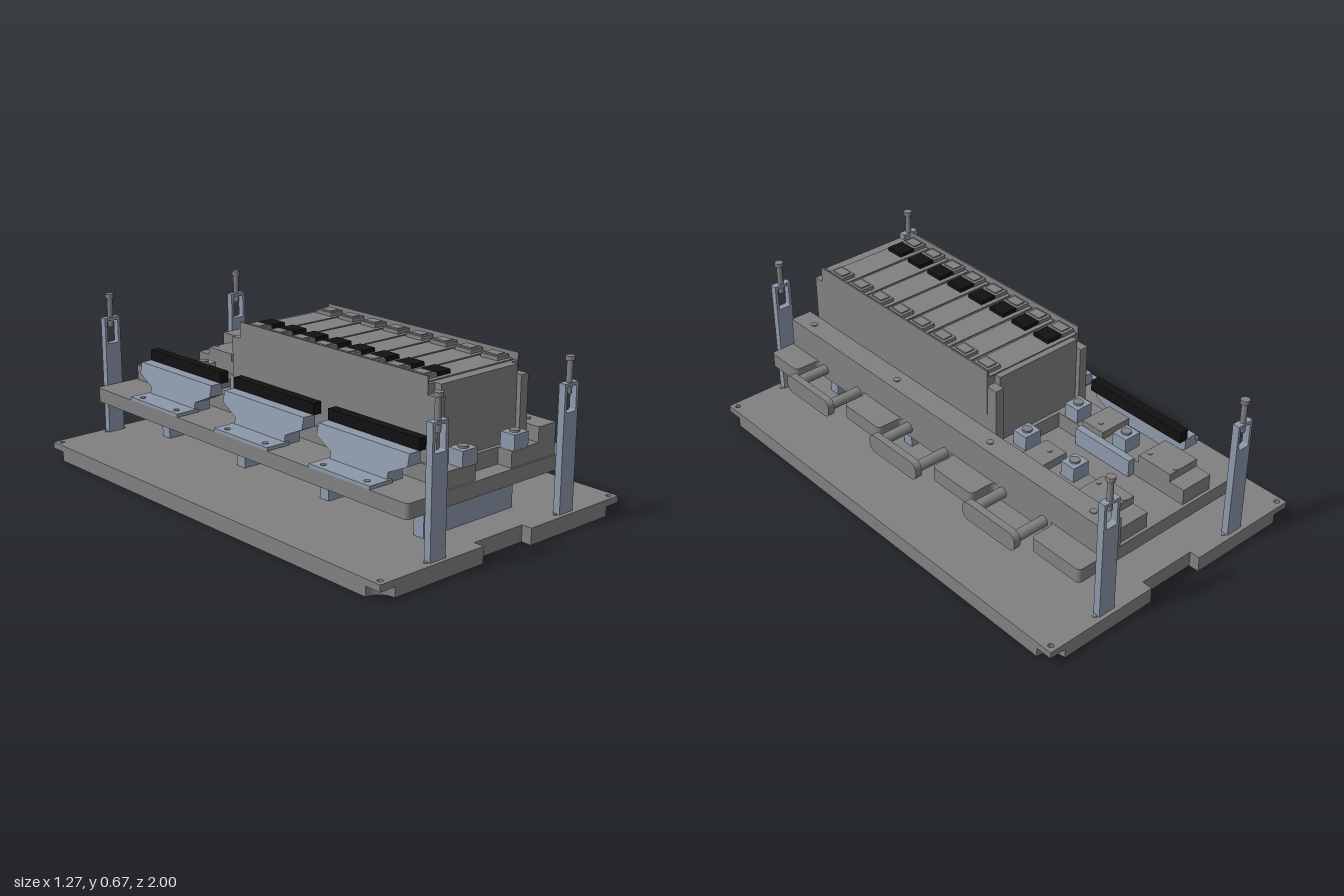
import * as THREE from 'three';

const mat = (name, color) => Object.assign(new THREE.MeshStandardMaterial({ color }), { name });

export function createModel() {
  const root = new THREE.Group();
  root.name = 'batteryFixture';
  const gray = mat('machinedGray', 0x808080);
  const blue = mat('steelBlue', 0x8c98aa);
  const black = mat('matteBlack', 0x111111);

  const add = (name, geo, material, parent = root) => {
    const m = new THREE.Mesh(geo, material);
    m.name = name;
    parent.add(m);
    return m;
  };
  // Box given by its limits on each axis
  const box = (name, material, [x0, x1], [y0, y1], [z0, z1], parent) => {
    const g = new THREE.BoxGeometry(x1 - x0, y1 - y0, z1 - z0);
    g.translate((x0 + x1) / 2, (y0 + y1) / 2, (z0 + z1) / 2);
    return add(name, g, material, parent);
  };
  const rod = (name, material, r, x, y0, y1, z, parent) => {
    const g = new THREE.CylinderGeometry(r, r, y1 - y0, 20);
    g.translate(x, (y0 + y1) / 2, z);
    return add(name, g, material, parent);
  };
  // Outline with rounded corners
  const rounded = (pts, r) => {
    const s = new THREE.Shape();
    pts.forEach((p, i) => {
      const a = new THREE.Vector2(...pts[(i + pts.length - 1) % pts.length]);
      const b = new THREE.Vector2(...p);
      const c = new THREE.Vector2(...pts[(i + 1) % pts.length]);
      const p0 = a.sub(b).setLength(r).add(b);
      const p1 = c.sub(b).setLength(r).add(b);
      if (i) s.lineTo(p0.x, p0.y); else s.moveTo(p0.x, p0.y);
      s.quadraticCurveTo(b.x, b.y, p1.x, p1.y);
    });
    s.closePath();
    return s;
  };
  const hole = (shape, x, y, r) => {
    const h = new THREE.Path();
    h.absarc(x, y, r, 0, Math.PI * 2, true);
    shape.holes.push(h);
  };
  const extrude = (shape, depth) =>
    new THREE.ExtrudeGeometry(shape, { depth, bevelEnabled: false, curveSegments: 10 });
  // Horizontal slab: the outline is given in x and -z
  const slab = (name, shape, y0, y1) => {
    const g = extrude(shape, y1 - y0);
    g.rotateX(-Math.PI / 2);
    g.translate(0, y0, 0);
    return add(name, g, gray);
  };

  // Base plate: end notches, corner holes, relieved lower corners and foot recesses
  const W = 0.633, N = 0.128, D = 0.955;
  const upper = new THREE.Shape([
    [-W, -1], [-N, -1], [-N, -D], [N, -D], [N, -1], [W, -1],
    [W, 1], [N, 1], [N, D], [-N, D], [-N, 1], [-W, 1],
  ].map((p) => new THREE.Vector2(...p)));
  const lower = new THREE.Shape();
  const c = 0.07;
  lower.moveTo(-W + c, -1);
  [[-N, -1], [-N, -D], [N, -D], [N, -1], [W - c, -1]].forEach((p) => lower.lineTo(...p));
  lower.absarc(W, -1, c, Math.PI, Math.PI / 2, true);
  lower.lineTo(W, 1 - c);
  lower.absarc(W, 1, c, -Math.PI / 2, -Math.PI, true);
  [[N, 1], [N, D], [-N, D], [-N, 1], [-W + c, 1]].forEach((p) => lower.lineTo(...p));
  lower.absarc(-W, 1, c, 0, -Math.PI / 2, true);
  lower.lineTo(-W, -1 + c);
  lower.absarc(-W, -1, c, Math.PI / 2, 0, true);
  for (const sx of [-1, 1]) for (const sz of [-1, 1]) {
    hole(upper, sx * 0.607, sz * 0.973, 0.011);
    hole(lower, sx * 0.245, sz * 0.625, 0.06);
    rod('footStud', gray, 0.034, sx * 0.245, 0.005, 0.04, sz * 0.625);
  }
  slab('basePlateLower', lower, 0, 0.04);
  slab('basePlateUpper', upper, 0.04, 0.067);

  // Cross supports under the fixture plate
  for (const z of [0.785, 0.28, -0.225, -0.735])
    box('crossSupport', blue, [-0.237, 0.235], [0.067, 0.226], [z - 0.025, z + 0.025]);

  // Corner posts with a window and an adjusting screw
  const postShape = new THREE.Shape([[-0.038, 0.067], [0.038, 0.067], [0.038, 0.572], [-0.038, 0.572]]
    .map((p) => new THREE.Vector2(...p)));
  postShape.holes.push(rounded([[-0.026, 0.46], [-0.026, 0.56], [0.026, 0.56], [0.026, 0.46]], 0.008));
  for (const sx of [-1, 1]) for (const sz of [-1, 1]) {
    const post = new THREE.Group();
    post.name = 'cornerPost';
    post.position.set(sx * 0.342, 0, sz * 0.968);
    add('postBody', extrude(postShape, 0.03).translate(0, 0, -0.015), blue, post);
    rod('postScrew', gray, 0.012, 0, 0.53, 0.656, 0, post);
    rod('postScrewHead', gray, 0.018, 0, 0.655, 0.672, 0, post);
    for (const dx of [-0.045, 0.045]) rod('postBolt', gray, 0.008, dx, 0.067, 0.07, 0, post);
    root.add(post);
  }

  // Fixture plate with three handle cut-outs on its left side
  const handleZ = [0.59, 0.035, -0.522];
  const outline = [[-0.445, -0.933], [0.44, -0.933]];
  for (const z of handleZ)
    outline.push([0.44, -z - 0.165], [0.33, -z - 0.165], [0.33, -z + 0.165], [0.44, -z + 0.165]);
  outline.push([0.44, 0.933], [-0.445, 0.933]);
  slab('fixturePlate', rounded(outline, 0.022), 0.226, 0.286);

  // Pull handles
  for (const z of handleZ) {
    const bar = rounded([[-0.143, -0.039], [0.143, -0.039], [0.143, 0.039], [-0.143, 0.039]], 0.036);
    const g = extrude(bar, 0.03);
    g.rotateY(Math.PI / 2);
    g.translate(0.472, 0.269, z);
    add('handleBar', g, gray);
    for (const s of [-1, 1]) {
      const arm = new THREE.CylinderGeometry(0.022, 0.022, 0.15, 20);
      arm.rotateZ(Math.PI / 2);
      arm.translate(0.4, 0.269, z + s * 0.112);
      add('handleArm', arm, gray);
    }
  }

  // Side rail with screws
  box('sideRail', gray, [0.235, 0.33], [0.286, 0.412], [-0.93, 0.925]);
  for (const z of [-0.84, -0.29, 0.27, 0.825]) rod('railScrew', gray, 0.014, 0.285, 0.412, 0.416, z);

  // Bed rails either side of the channel, with stepped pads at the back
  for (const [x0, x1] of [[-0.245, -0.1], [0.09, 0.235]]) {
    box('bedRail', gray, [x0, x1], [0.286, 0.352], [-0.92, 0.925]);
    const xm = x0 < 0 ? -0.14 : 0.13;
    box('bedPad', gray, [x0, x1], [0.352, 0.385], [-0.85, -0.69]);
    box('bedPad', gray, [x0, x1], [0.352, 0.385], [-0.5, -0.39]);
    for (const z of [-0.84, -0.71, -0.45]) rod('padPin', gray, 0.01, xm, 0.384, 0.388, z);
    // Clamp blocks
    for (const z of [-0.585, -0.325, 0.9]) {
      box('clampBlock', blue, [xm - 0.038, xm + 0.038], [0.352, 0.414], [z - 0.034, z + 0.034]);
      rod('clampScrew', gray, 0.02, xm, 0.414, 0.422, z);
    }
  }
  box('channelFill', gray, [-0.1, 0.09], [0.286, 0.352], [-0.26, 0.86]);
  box('channelStrip', blue, [-0.1, -0.07], [0.286, 0.36], [-0.67, -0.385]);

  // Support brackets along the right side, each with a black contact bar
  for (const z of [-0.527, 0.032, 0.588]) {
    box('bracketFoot', blue, [-0.445, -0.335], [0.286, 0.3], [z - 0.16, z + 0.16]);
    for (const s of [-1, 1]) rod('bracketScrew', gray, 0.012, -0.415, 0.3, 0.303, z + s * 0.115);
    const wall = new THREE.Shape([
      [-0.15, 0.286], [0.15, 0.286], [0.15, 0.325], [0.237, 0.365], [0.237, 0.412],
      [-0.237, 0.412], [-0.237, 0.365], [-0.15, 0.325],
    ].map((p) => new THREE.Vector2(...p)));
    const g = extrude(wall, 0.06);
    // Lean the outer face inwards at the top
    const p = g.attributes.position;
    for (let i = 0; i < p.count; i++)
      if (p.getZ(i) < 0.01) p.setZ(i, (p.getY(i) - 0.286) * 0.2 - 0.02);
    g.computeVertexNormals();
    g.rotateY(Math.PI / 2);
    g.translate(-0.335, 0, z);
    add('bracketWall', g, blue);
    box('contactBar', black, [-0.282, -0.243], [0.41, 0.457], [z - 0.237, z + 0.237]);
  }

  // Battery module: core, end plates, corner flanges and thin side plates
  box('moduleCore', gray, [-0.234, 0.231], [0.353, 0.642], [-0.215, 0.815]);
  for (const [z0, z1, f0, f1] of [[0.815, 0.845, 0.815, 0.865], [-0.245, -0.215, -0.265, -0.215]]) {
    box('endPlate', gray, [-0.2, 0.196], [0.353, 0.642], [z0, z1]);
    box('cornerFlange', gray, [-0.238, -0.2], [0.36, 0.604], [f0, f1]);
    box('cornerFlange', gray, [0.196, 0.235], [0.36, 0.604], [f0, f1]);
  }
  for (const x of [-0.238, 0.23])
    box('sidePlate', gray, [x, x + 0.006], [0.353, 0.672], [-0.217, 0.817]);

  // Cell tops with terminal pads and black caps
  for (let i = 0; i < 8; i++) {
    const z = -0.16 + i * 0.1288;
    box('cellLid', gray, [-0.225, 0.222], [0.642, 0.647], [z - 0.059, z + 0.059]);
    box('terminalPad', gray, [-0.222, -0.16], [0.647, 0.662], [z - 0.042, z + 0.042]);
    box('terminalTop', gray, [-0.212, -0.17], [0.662, 0.667], [z - 0.03, z + 0.03]);
    box('terminalCap', black, [-0.16, -0.088], [0.647, 0.663], [z - 0.04, z + 0.04]);
    box('terminalPad', gray, [0.155, 0.218], [0.647, 0.662], [z - 0.042, z + 0.042]);
    box('terminalTop', gray, [0.165, 0.208], [0.662, 0.667], [z - 0.03, z + 0.03]);
  }
  return root;
}
